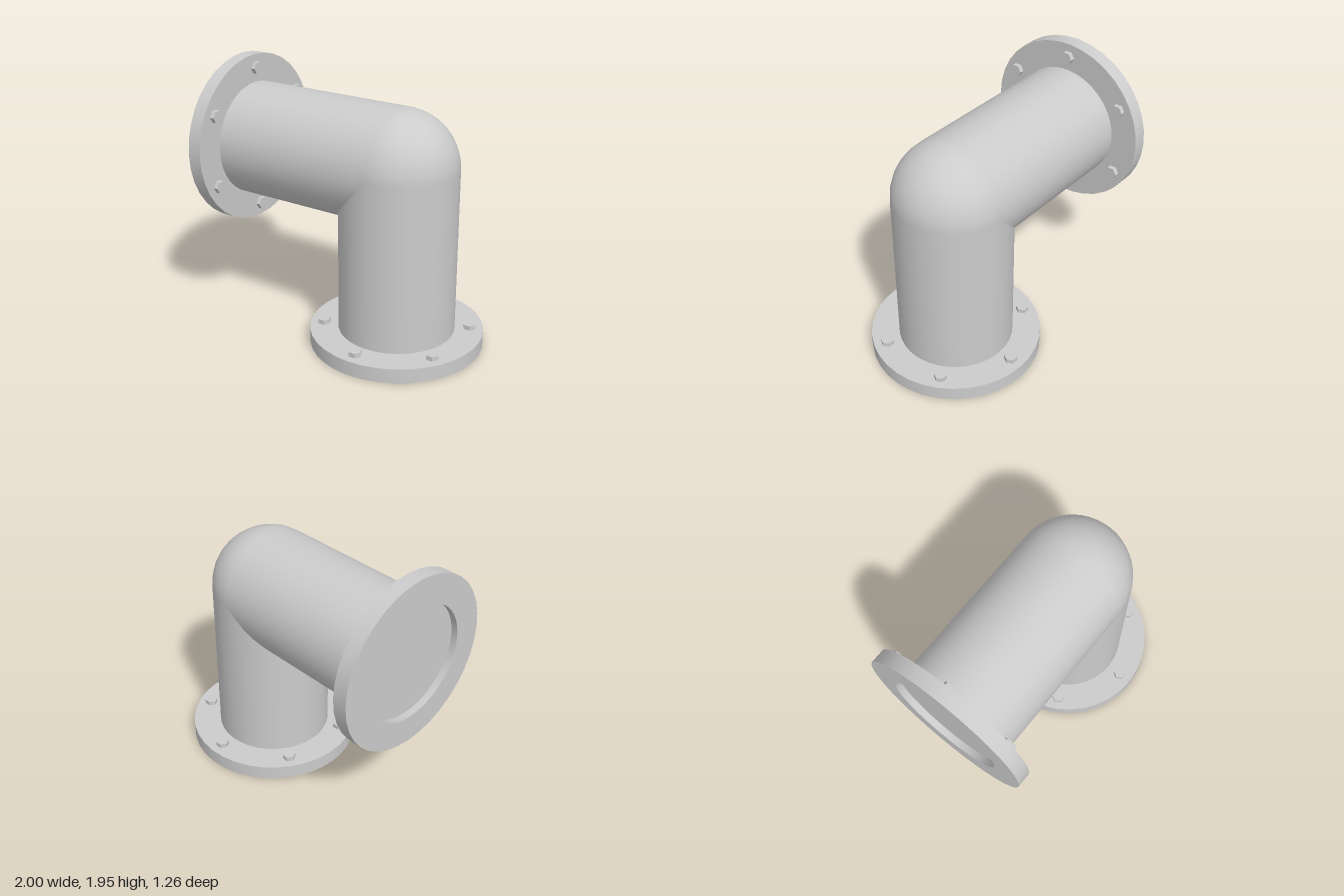
import * as THREE from 'three';
import { toCreasedNormals } from 'three/addons/utils/BufferGeometryUtils.js';

const PIPE_R = 0.423, FLANGE_R = 0.63, FLANGE_T = 0.107, RECESS = 0.05;
const BOLT_CIRCLE = 0.53, SEGMENTS = 36;
const CENTRE = new THREE.Vector3(0.37, 1.323, 0);
const material = new THREE.MeshStandardMaterial({ color: 0xcccccc });

function part(name, geometry, parent) {
  const mesh = new THREE.Mesh(geometry, material);
  mesh.name = name;
  parent.add(mesh);
  return mesh;
}

// One arm hangs down from the elbow centre at its origin and ends in a bolted flange.
function createArm(name, length, boltTurn) {
  const arm = new THREE.Group();
  arm.name = name;

  // Pipe, its inner upper edge cut to the 45 degree mitre
  const height = length - FLANGE_T;
  const pipe = new THREE.CylinderGeometry(PIPE_R, PIPE_R, height, SEGMENTS, 1, true);
  pipe.translate(0, -height / 2, 0);
  const p = pipe.attributes.position;
  for (let i = 0; i < p.count; i++) {
    if (p.getY(i) > -0.001) p.setY(i, Math.min(0, p.getX(i)));
  }
  part(name + 'Pipe', pipe, arm);

  // Flange ring with the recessed closed pipe end
  const profile = [
    [0, RECESS], [PIPE_R, RECESS], [PIPE_R, 0],
    [FLANGE_R, 0], [FLANGE_R, FLANGE_T], [PIPE_R, FLANGE_T],
  ].map(([x, y]) => new THREE.Vector2(x, y));
  const flange = toCreasedNormals(new THREE.LatheGeometry(profile, SEGMENTS), 0.6);
  part(name + 'Flange', flange, arm).position.y = -length;

  // Six hexagonal bolt heads
  const bolt = toCreasedNormals(new THREE.CylinderGeometry(0.048, 0.048, 0.034, 6), 0.3);
  for (let i = 0; i < 6; i++) {
    const a = boltTurn + i * Math.PI / 3;
    const head = part(name + 'Bolt' + (i + 1), bolt, arm);
    head.position.set(BOLT_CIRCLE * Math.sin(a), -length + FLANGE_T + 0.017, BOLT_CIRCLE * Math.cos(a));
    head.rotation.y = boltTurn + Math.PI / 2;
  }
  return arm;
}

export function createModel() {
  const model = new THREE.Group();
  model.name = 'pipeElbow';

  model.add(createArm('lower', CENTRE.y, 0));

  // The side arm is the lower one turned over the mitre diagonal
  const side = createArm('side', CENTRE.x + 1, Math.PI / 2);
  side.quaternion.setFromAxisAngle(new THREE.Vector3(1, 1, 0).normalize(), Math.PI);
  model.add(side);

  // Quarter sphere rounding the outer corner
  part('elbowCorner', new THREE.SphereGeometry(
    PIPE_R, SEGMENTS / 2, SEGMENTS / 4, Math.PI / 2, Math.PI, 0, Math.PI / 2), model);

  for (const child of model.children) child.position.copy(CENTRE);
  return model;
}
